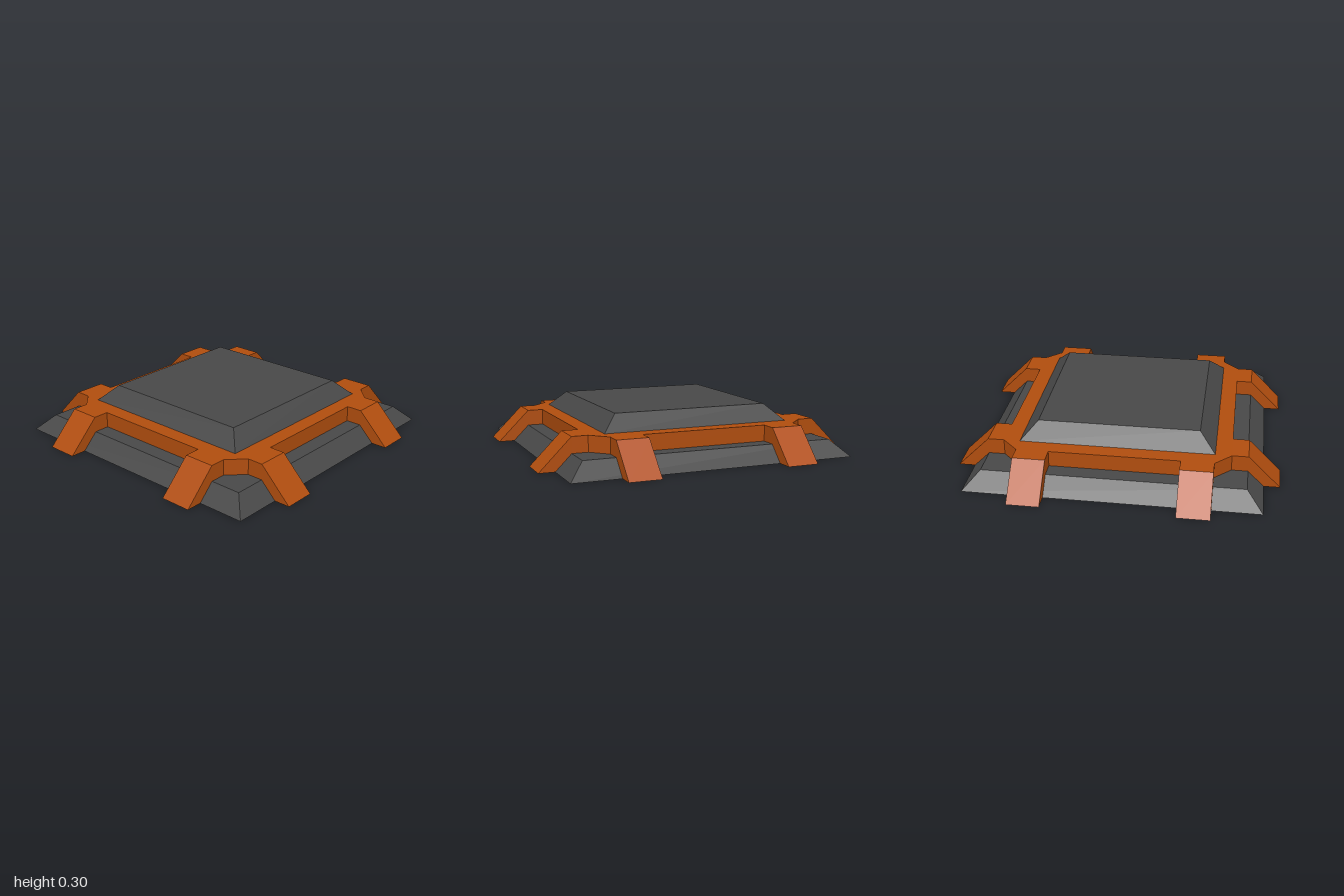
import * as THREE from 'three';

// Flat-faced surface from polygons (3 or 4 corners), repeated on all four sides
function fourSided(polygons, material, name) {
  const positions = [];
  for (let side = 0; side < 4; side++) {
    const c = [1, 0, -1, 0][side], s = [0, 1, 0, -1][side];
    const turn = ([x, y, z]) => [c * x + s * z, y, c * z - s * x];
    for (const polygon of polygons) {
      const p = polygon.map(turn);
      for (let i = 1; i < p.length - 1; i++) positions.push(...p[0], ...p[i], ...p[i + 1]);
    }
  }
  const geometry = new THREE.BufferGeometry();
  geometry.setAttribute('position', new THREE.Float32BufferAttribute(positions, 3));
  geometry.computeVertexNormals();
  const mesh = new THREE.Mesh(geometry, material);
  mesh.name = name;
  return mesh;
}

// One side of a square stepped shell; rings are [half width, height], bottom up
function slopes(rings) {
  const polygons = [];
  for (let i = 0; i < rings.length - 1; i++) {
    const [a, y0] = rings[i], [b, y1] = rings[i + 1];
    polygons.push([[-a, y0, a], [a, y0, a], [b, y1, b], [-b, y1, b]]);
  }
  return polygons;
}

// Horizontal rectangle facing up
const flat = (x0, x1, z0, z1, y) => [[x0, y, z1], [x1, y, z1], [x1, y, z0], [x0, y, z0]];

// Leg hugging the base slope, open toward the frame
function leg(x) {
  const l = x - 0.1, r = x + 0.1;
  const polygons = [
    flat(l, r, 0.7, 0.8, 0.2),
    [[l, 0, 1], [r, 0, 1], [r, 0.2, 0.8], [l, 0.2, 0.8]],
    flat(l, r, 0.9, 1, 0).reverse(),
  ];
  const cheeks = [
    [[0.1, 0.8], [0.1, 0.7], [0.2, 0.7], [0.2, 0.8]],
    [[0, 1], [0, 0.9], [0.1, 0.8], [0.2, 0.8]],
  ];
  for (const cheek of cheeks) {
    polygons.push(cheek.map(([y, z]) => [r, y, z]));
    polygons.push(cheek.map(([y, z]) => [l, y, z]).reverse());
  }
  return polygons;
}

export function createModel() {
  const grey = new THREE.MeshStandardMaterial({ color: 0x484848, side: THREE.DoubleSide });
  grey.name = 'dark grey';
  const orange = new THREE.MeshStandardMaterial({ color: 0xb04d0e, side: THREE.DoubleSide });
  orange.name = 'burnt orange';

  const model = new THREE.Group();
  model.name = 'platform';

  // Hollow base with a square opening, and the raised cap
  model.add(fourSided(slopes([[0.9, 0], [0.8, 0.1], [0.6, 0.1]]), grey, 'base'));
  model.add(fourSided(slopes([[0.6, 0.2], [0.5, 0.3], [0, 0.3]]), grey, 'cap'));

  // Frame rail, its outer wall and the chamfered corner
  model.add(fourSided([
    flat(-0.6, 0.6, 0.6, 0.7, 0.2),
    [[-0.4, 0.1, 0.7], [0.4, 0.1, 0.7], [0.4, 0.2, 0.7], [-0.4, 0.2, 0.7]],
    [[0.6, 0.2, 0.6], [0.6, 0.2, 0.7], [0.7, 0.2, 0.6]],
    [[0.6, 0.1, 0.7], [0.7, 0.1, 0.6], [0.7, 0.2, 0.6], [0.6, 0.2, 0.7]],
  ], orange, 'frame'));

  // Two legs on every side
  model.add(fourSided([...leg(-0.5), ...leg(0.5)], orange, 'legs'));
  return model;
}
